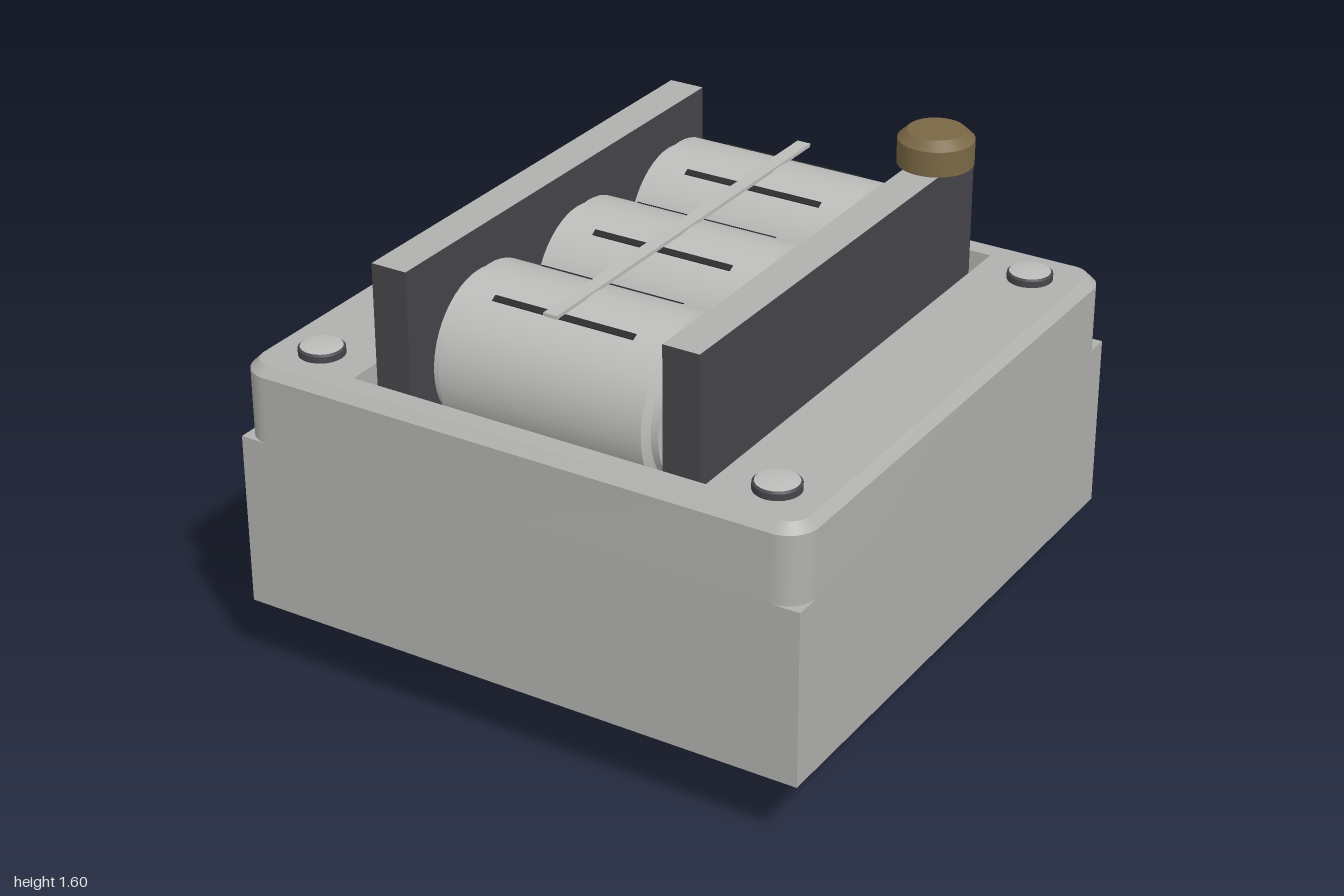
import * as THREE from 'three';
import { toCreasedNormals } from 'three/addons/utils/BufferGeometryUtils.js';

const mat = (name, color) => Object.assign(new THREE.MeshStandardMaterial({ color }), { name });

// Rounded square outline of half size h and corner radius r
function roundedSquare(h, r) {
  const s = new THREE.Shape(), c = h - r;
  s.absarc(c, c, r, 0, Math.PI / 2);
  s.absarc(-c, c, r, Math.PI / 2, Math.PI);
  s.absarc(-c, -c, r, Math.PI, Math.PI * 1.5);
  s.absarc(c, -c, r, Math.PI * 1.5, Math.PI * 2);
  return s;
}

// Outer skin joining rounded squares given as [half size, radius, y]
function loftSquares(sections) {
  const pos = [], index = [];
  let n = 0;
  for (const [h, r, y] of sections) {
    const pts = roundedSquare(h, r).getPoints(8);
    n = pts.length;
    for (const p of pts) pos.push(p.x, y, -p.y);
  }
  for (let s = 0; s < sections.length - 1; s++) {
    for (let i = 0; i < n; i++) {
      const a = s * n + i, b = s * n + (i + 1) % n;
      index.push(a, b, b + n, a, b + n, a + n);
    }
  }
  const g = new THREE.BufferGeometry();
  g.setAttribute('position', new THREE.Float32BufferAttribute(pos, 3));
  g.setIndex(index);
  return toCreasedNormals(g, 0.5);
}

// Turned part from [radius, height] points, bottom to top
const turned = (pts, seg = 40) => toCreasedNormals(
  new THREE.LatheGeometry(pts.map(([r, y]) => new THREE.Vector2(r, y)), seg), 0.4);

export function createModel() {
  const model = new THREE.Group();
  const grey = mat('bodyGrey', 0xb0b0ae);
  const metal = mat('metalGrey', 0xbcbcba);
  const dark = mat('darkPlate', 0x46454a);
  const black = mat('blackRecess', 0x2c2c2c);
  const brass = mat('brass', 0x7a6845);

  const add = (name, geo, material, x = 0, y = 0, z = 0, parent = model) => {
    const m = new THREE.Mesh(geo, material);
    m.name = name;
    m.position.set(x, y, z);
    parent.add(m);
    return m;
  };
  const box = (w, h, d) => new THREE.BoxGeometry(w, h, d);

  // Square lower body and the rounded, chamfered cover
  add('lowerBody', box(2, 0.595, 2), grey, 0, 0.5425, 0);
  add('coverRim', loftSquares([[1, 0.1, 0.84], [1, 0.1, 1.07], [0.97, 0.07, 1.1]]), grey);

  // Cover top with a rectangular well
  const cover = roundedSquare(0.97, 0.07);
  const well = new THREE.Path();
  well.moveTo(-0.627, -0.9).lineTo(-0.627, 0.9).lineTo(0.627, 0.9).lineTo(0.627, -0.9).closePath();
  cover.holes.push(well);
  const coverGeo = new THREE.ExtrudeGeometry(cover, { depth: 0.26, bevelEnabled: false, curveSegments: 8 });
  coverGeo.rotateX(-Math.PI / 2);
  add('cover', coverGeo, grey, 0, 0.84, 0);
  add('wellFloor', box(1.254, 0.008, 1.8), black, 0, 0.842, 0);

  // Upright side plates with pale top edges
  for (const s of [-1, 1]) {
    add(s > 0 ? 'leftPlate' : 'rightPlate', box(0.125, 0.64, 1.7),
      [dark, dark, grey, dark, dark, dark], s * 0.5125, 1.16, 0);
  }

  // Three drums lying across the well, each with two slots
  const drumGeo = turned([[0, -0.4], [0.245, -0.4], [0.245, -0.375], [0.275, -0.36],
    [0.275, 0.36], [0.245, 0.375], [0.245, 0.4], [0, 0.4]], 48);
  drumGeo.rotateZ(-Math.PI / 2);
  const slotGeo = box(0.5, 0.008, 0.022);
  for (const z of [-0.55, 0, 0.55]) {
    const drum = new THREE.Group();
    drum.name = 'drum';
    drum.position.set(0, 1.135, z);
    model.add(drum);
    add('drumBody', drumGeo, metal, 0, 0, 0, drum);
    for (const s of [-1, 1]) {
      const a = s * 0.498;
      add('drumSlot', slotGeo, black, 0, 0.274 * Math.cos(a), 0.274 * Math.sin(a), drum).rotation.x = a;
    }
  }

  // Index strip running over the drums
  add('indexStrip', box(0.048, 0.012, 1.505), metal, 0, 1.411, 0);

  // Corner screws: dark edge, pale slightly domed top
  const screwSide = turned([[0.075, 0], [0.075, 0.022], [0.068, 0.028]], 32);
  const screwTop = turned([[0.068, 0.028], [0.04, 0.032], [0, 0.034]], 32);
  for (const x of [-0.813, 0.813]) {
    for (const z of [-0.813, 0.813]) {
      add('screwEdge', screwSide, dark, x, 1.099, z);
      add('screwTop', screwTop, metal, x, 1.099, z);
    }
  }

  // Chamfered knob on the left plate
  add('knob', turned([[0, 0], [0.125, 0], [0.125, 0.085], [0.094, 0.114], [0, 0.116]]),
    brass, 0.51, 1.48, -0.705);

  // Grid of pins underneath
  const pinGeo = new THREE.CylinderGeometry(0.075, 0.075, 0.25, 32);
  for (const x of [-0.52, 0, 0.52]) {
    for (const z of [-0.52, 0, 0.52]) add('pin', pinGeo, metal, x, 0.125, z);
  }
  return model;
}
